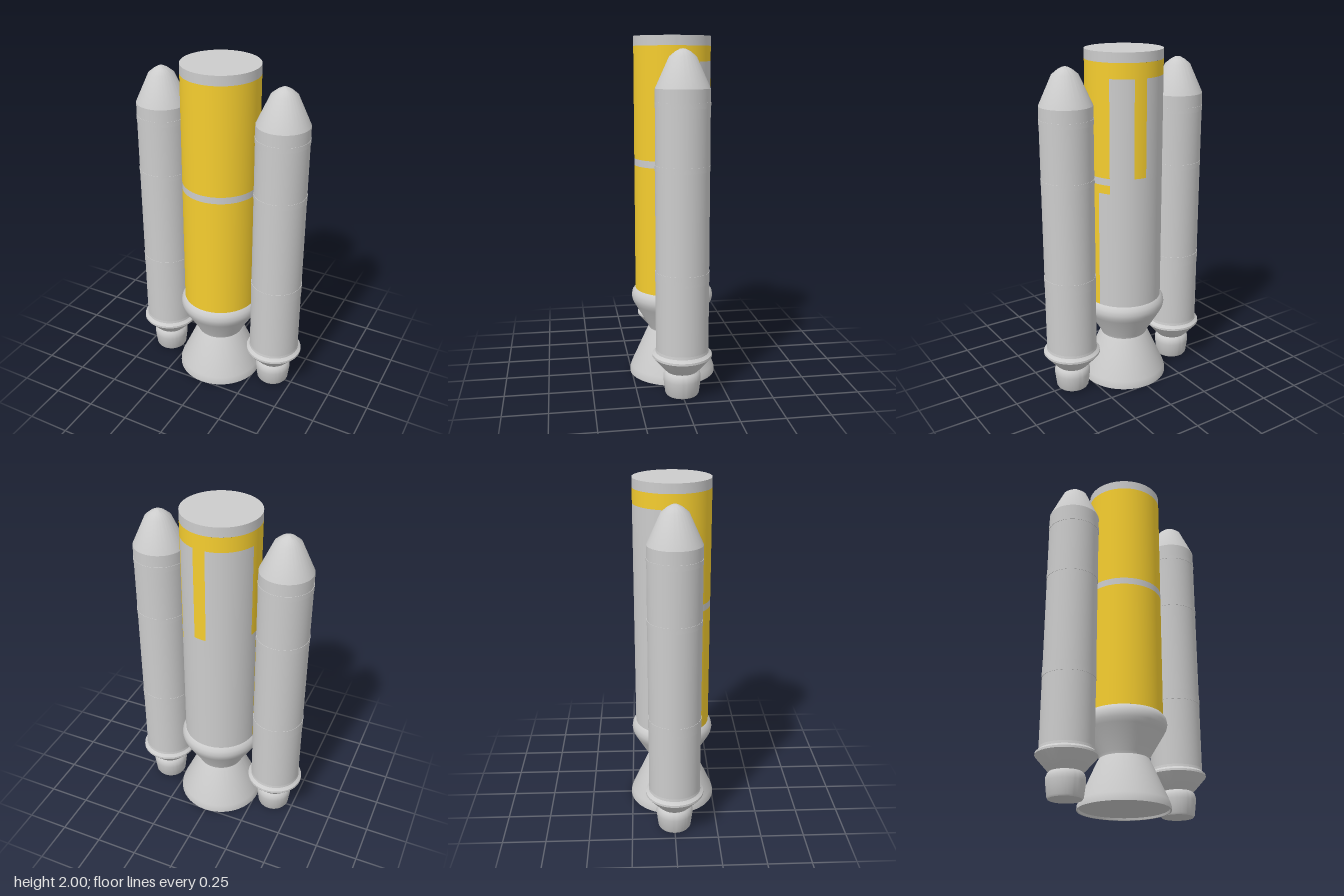
import * as THREE from 'three';
import { toCreasedNormals } from 'three/addons/utils/BufferGeometryUtils.js';

const grey = new THREE.MeshStandardMaterial({ color: 0xcccccc });
const yellow = new THREE.MeshStandardMaterial({ color: 0xf5cd2f });
const RAD = Math.PI / 180;
const CORE_R = 0.22;

function lathe(name, profile, segments = 72) {
  const points = profile.map(([r, y]) => new THREE.Vector2(r, y));
  const geometry = toCreasedNormals(new THREE.LatheGeometry(points, segments), 32 * RAD);
  const mesh = new THREE.Mesh(geometry, grey);
  mesh.name = name;
  return mesh;
}

// Curved wall panel; angles in degrees are measured from the back (-z) towards -x
function wallPanel(name, y0, y1, a0, a1, material) {
  const geometry = new THREE.CylinderGeometry(CORE_R, CORE_R, y1 - y0, a1 - a0, 1, true,
    (180 + a0) * RAD, (a1 - a0) * RAD);
  const mesh = new THREE.Mesh(geometry, material);
  mesh.position.y = (y0 + y1) / 2;
  mesh.name = name;
  return mesh;
}

function createCore() {
  const core = new THREE.Group();
  core.name = 'coreStage';
  const panels = [
    ['lowerTankFront', 0.53, 1.22, 85, 287, yellow],
    ['lowerTankBack', 0.53, 1.22, -73, 85, grey],
    ['lowerTankFrontEdge', 1.22, 1.27, 85, 306, yellow],
    ['lowerTankBackEdge', 1.22, 1.27, -54, 85, grey],
    ['middleBand', 1.27, 1.31, 0, 360, grey],
    ['upperTankFront', 1.31, 1.86, 73, 306, yellow],
    ['upperBackPanelLeft', 1.31, 1.86, -54, -18, grey],
    ['upperBackStripe', 1.31, 1.86, -18, 1, yellow],
    ['upperBackPanelRight', 1.31, 1.86, 1, 73, grey],
    ['upperCollar', 1.86, 1.945, 0, 360, yellow],
  ];
  for (const p of panels) core.add(wallPanel(...p));
  // Closed grey cap
  core.add(lathe('topCap', [[CORE_R, 1.945], [CORE_R, 2], [0, 2]], 90));
  // Rounded skirt narrowing to the throat
  core.add(lathe('engineSkirt', [
    [0.14, 0.28], [0.145, 0.295], [0.225, 0.43], [0.238, 0.455], [0.243, 0.48],
    [0.238, 0.507], [0.225, 0.525], [CORE_R, 0.53],
  ], 90));
  // Bell nozzle with a shallow recessed base
  core.add(lathe('mainNozzle', [
    [0, 0.012], [0.245, 0.012], [0.249, 0], [0.257, 0], [0.256, 0.02], [0.248, 0.045],
    [0.205, 0.14], [0.152, 0.26], [0.14, 0.28],
  ], 90));
  return core;
}

function createBooster(side) {
  const booster = new THREE.Group();
  booster.name = side > 0 ? 'leftBooster' : 'rightBooster';
  booster.position.x = side * 0.372;
  booster.add(lathe('boosterNozzle', [
    [0, 0.01], [0.09, 0.01], [0.096, 0.02], [0.106, 0.1], [0.106, 0.12], [0.099, 0.14], [0.09, 0.15],
  ]));
  booster.add(lathe('boosterFlare', [
    [0.09, 0.15], [0.105, 0.165], [0.162, 0.23], [0.168, 0.238], [0.167, 0.25],
    [0.158, 0.257], [0.15, 0.265], [0.148, 0.28],
  ]));
  booster.add(lathe('boosterBody', [[0.148, 0.28], [0.148, 1.72]]));
  booster.add(lathe('noseCone', [
    [0.148, 1.72], [0.073, 1.885], [0.04, 1.912], [0.015, 1.925], [0, 1.927],
  ]));
  // Slightly raised joint bands
  for (const [y0, y1] of [[0.67, 0.73], [1.285, 1.315], [1.62, 1.65]]) {
    booster.add(lathe('jointBand', [[0.148, y0], [0.15, y0], [0.15, y1], [0.148, y1]]));
  }
  return booster;
}

export function createModel() {
  const model = new THREE.Group();
  model.name = 'rocket';
  model.add(createCore(), createBooster(1), createBooster(-1));
  return model;
}
